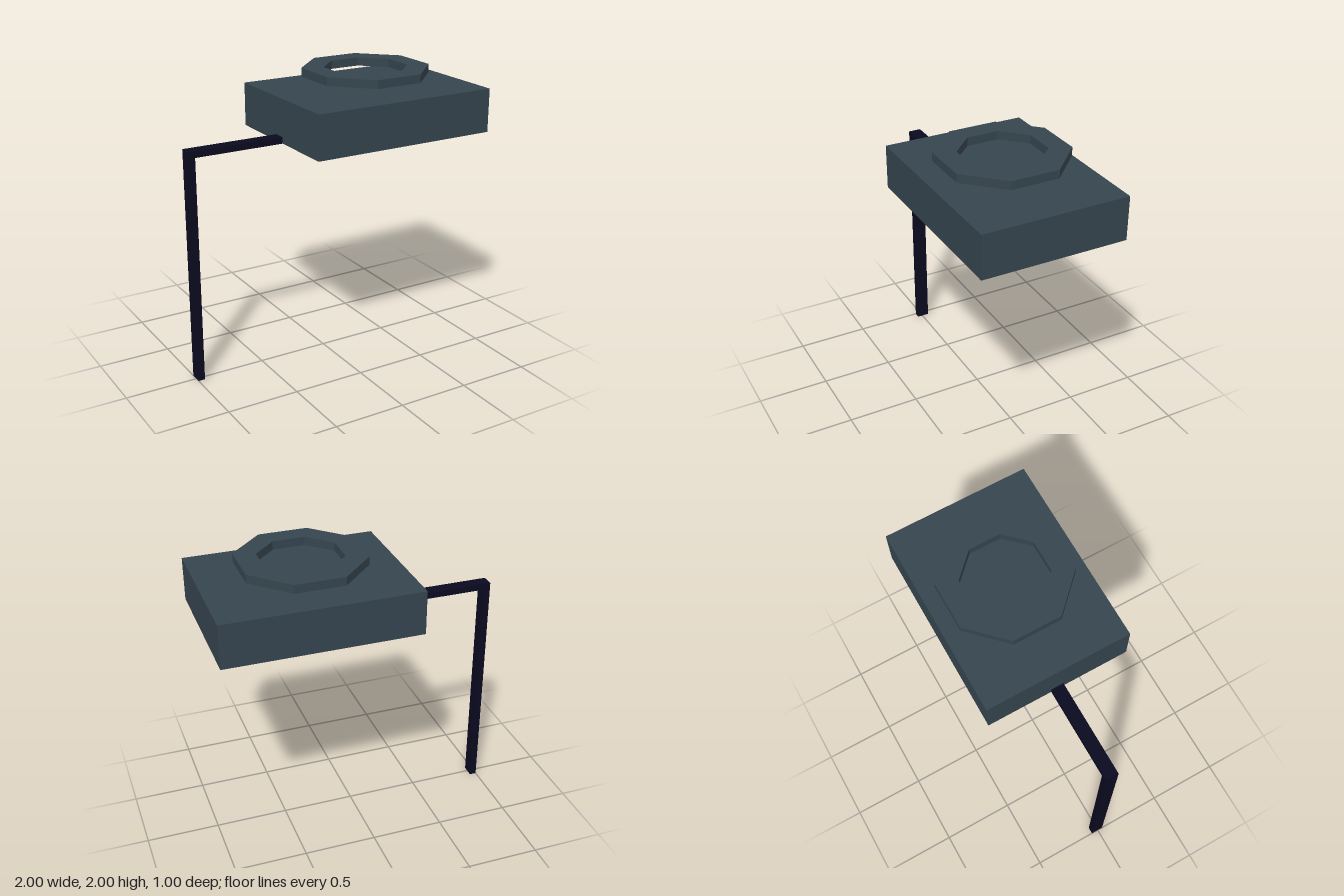
import * as THREE from 'three';

export function createModel() {
  const group = new THREE.Group();
  const slate = new THREE.MeshStandardMaterial({ color: 0x36454f });
  slate.name = 'slate';
  const navy = new THREE.MeshStandardMaterial({ color: 0x0a0a20 });
  navy.name = 'darkNavy';

  // box given by its lower and upper corners
  const addBox = (name, material, lo, hi) => {
    const size = hi.map((v, i) => v - lo[i]);
    const mesh = new THREE.Mesh(new THREE.BoxGeometry(...size), material);
    mesh.position.set(...hi.map((v, i) => (v + lo[i]) / 2));
    mesh.name = name;
    group.add(mesh);
  };

  // main body
  addBox('body', slate, [-0.33, 1.565, -0.5], [1, 1.865, 0.5]);

  // bent support: upright post and horizontal arm
  addBox('post', navy, [-1, 0, -0.05], [-0.953, 1.565, 0.037]);
  addBox('arm', navy, [-1, 1.565, -0.05], [-0.33, 1.608, 0.037]);

  // corners of an octagon with flat sides facing the axes
  const octagon = (apothem) => Array.from({ length: 8 }, (_, i) => {
    const a = (i + 0.5) * Math.PI / 4;
    const r = apothem / Math.cos(Math.PI / 8);
    return new THREE.Vector2(r * Math.cos(a), r * Math.sin(a));
  });

  // octagonal ring floating above the body
  const ringShape = new THREE.Shape(octagon(0.402));
  ringShape.holes.push(new THREE.Path(octagon(0.263).reverse()));
  const ringGeometry = new THREE.ExtrudeGeometry(ringShape, { depth: 0.058, bevelEnabled: false });
  ringGeometry.rotateX(-Math.PI / 2);
  const ring = new THREE.Mesh(ringGeometry, slate);
  ring.position.set(0.333, 1.942, -0.002);
  ring.name = 'ring';
  group.add(ring);

  return group;
}
